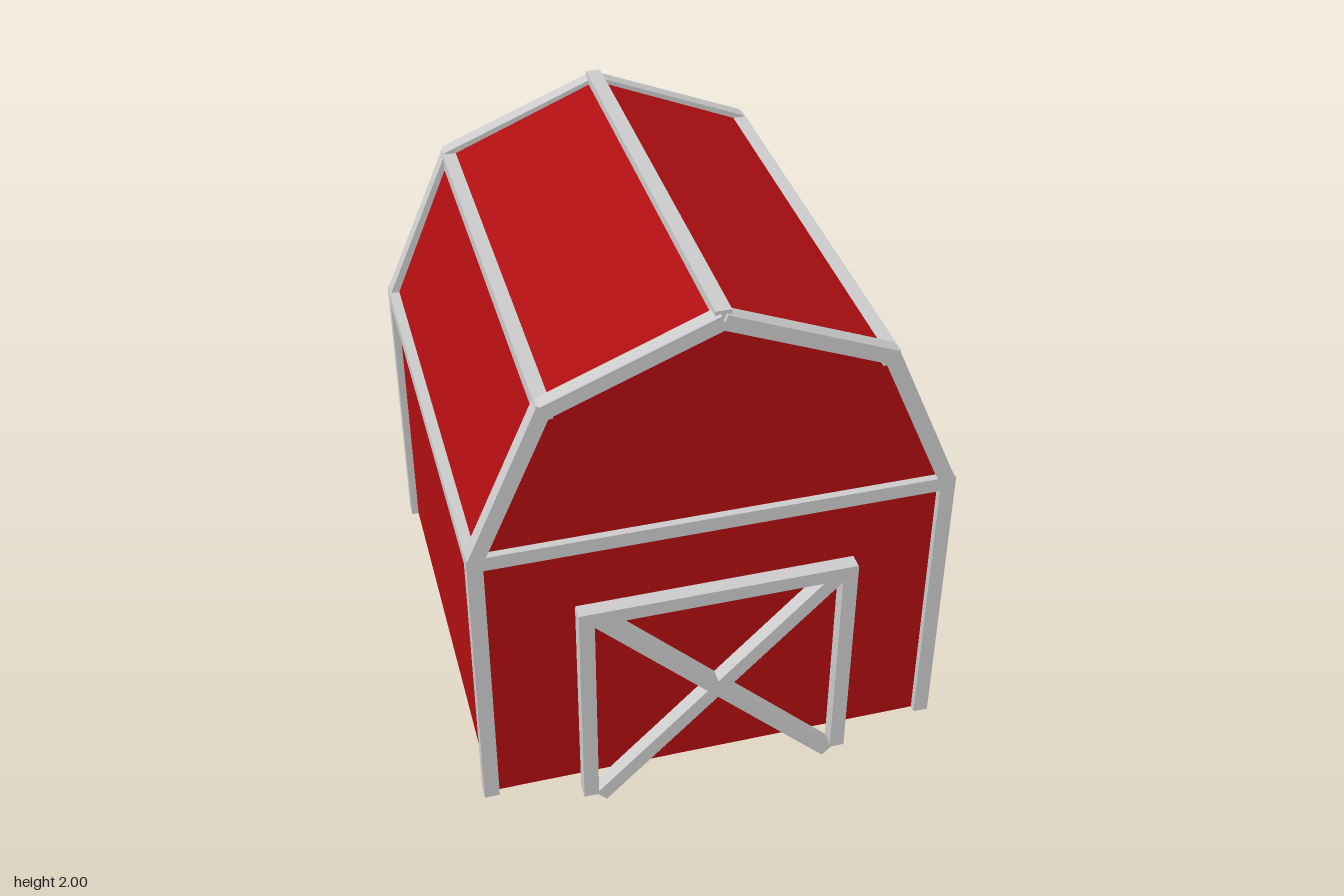
import * as THREE from 'three';

export function createModel() {
  const barn = new THREE.Group();
  barn.name = 'barn';
  const trim = new THREE.MeshStandardMaterial({ color: 0xcccccc });
  const red = new THREE.MeshStandardMaterial({ color: 0xb00e10 });
  const T = 0.054; // beam thickness
  const zFront = 0.795, zBack = -0.84;

  // Square beam between two points in a plane of constant z
  function bar(name, x1, y1, x2, y2, z, parent = barn) {
    const length = Math.hypot(x2 - x1, y2 - y1);
    const mesh = new THREE.Mesh(new THREE.BoxGeometry(length, T, T), trim);
    mesh.position.set((x1 + x2) / 2, (y1 + y2) / 2, z);
    mesh.rotation.z = Math.atan2(y2 - y1, x2 - x1);
    mesh.name = name;
    parent.add(mesh);
  }

  // Beam running front to back
  function rail(name, x, y) {
    const mesh = new THREE.Mesh(new THREE.BoxGeometry(T, T, 1.69), trim);
    mesh.position.set(x, y, -0.0225);
    mesh.name = name;
    barn.add(mesh);
  }

  // Solid gambrel body: walls, roof and floor
  const outline = [
    [-0.815, 0.07], [0.815, 0.07], [0.815, 1.16],
    [0.572, 1.738], [0, 1.976], [-0.572, 1.738], [-0.815, 1.16],
  ];
  const shape = new THREE.Shape(outline.map(([x, y]) => new THREE.Vector2(x, y)));
  const bodyGeo = new THREE.ExtrudeGeometry(shape, { depth: zFront - zBack, bevelEnabled: false });
  bodyGeo.translate(0, 0, zBack);
  const body = new THREE.Mesh(bodyGeo, red);
  body.name = 'body';
  barn.add(body);

  // Corner posts and gable trim on both ends
  for (const [end, z] of [['front', zFront], ['back', zBack]]) {
    bar(end + 'CrossBeam', -0.815, 1.158, 0.815, 1.158, z);
    for (const s of [-1, 1]) {
      const side = s > 0 ? 'Left' : 'Right';
      bar(end + side + 'Post', s * 0.815, 0.07, s * 0.815, 1.185, z);
      bar(end + side + 'LowerRafter', s * 0.815, 1.165, s * 0.565, 1.738, z);
      bar(end + side + 'UpperRafter', s * 0.575, 1.73, 0, 1.964, z + (z > 0 ? 0.014 : -0.012));
    }
  }

  // Ridge, roof break and eave rails
  rail('ridgeRail', 0, 1.973);
  for (const s of [-1, 1]) {
    const side = s > 0 ? 'left' : 'right';
    rail(side + 'RoofRail', s * 0.566, 1.723);
    rail(side + 'EaveRail', s * 0.815, 1.158);
  }

  // Door frame with cross braces
  const door = new THREE.Group();
  door.name = 'doorFrame';
  barn.add(door);
  const zDoor = 0.852;
  bar('doorTop', -0.49, 0.883, 0.49, 0.883, zDoor, door);
  for (const s of [-1, 1]) {
    bar('doorPost', s * 0.465, 0.035, s * 0.465, 0.905, zDoor, door);
    bar('doorBrace', s * 0.428, 0.02, -s * 0.428, 0.876, zDoor, door);
  }
  return barn;
}
